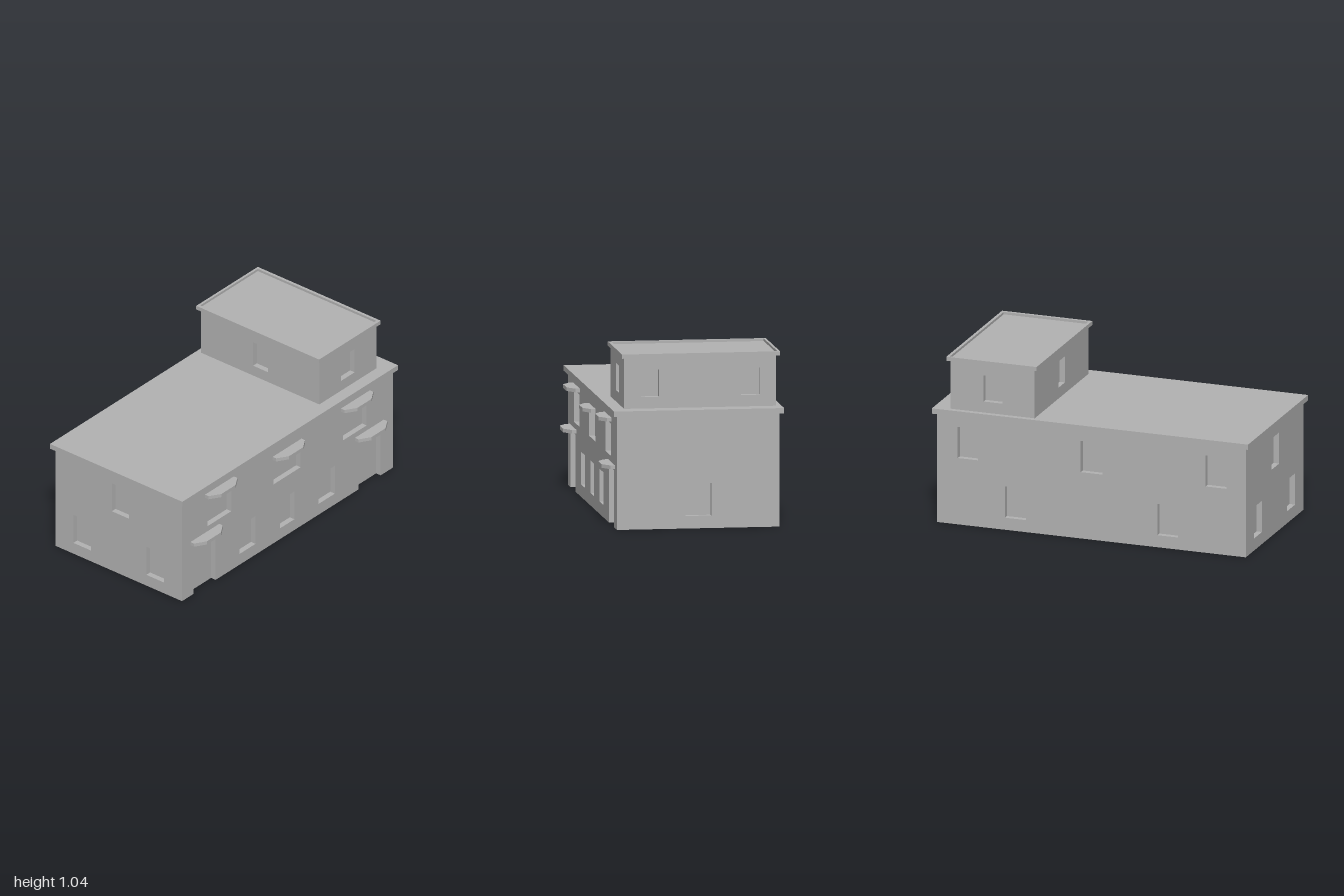
import * as THREE from 'three';

const DEPTH = 0.035; // how far windows and doors are set back

export function createModel() {
  const model = new THREE.Group();
  model.name = 'building';
  const plaster = new THREE.MeshStandardMaterial({ color: 0xb2b2b2, side: THREE.DoubleSide });
  plaster.name = 'grey plaster';

  function add(parent, name, geometry, x = 0, y = 0, z = 0) {
    const mesh = new THREE.Mesh(geometry, plaster);
    mesh.name = name;
    mesh.position.set(x, y, z);
    parent.add(mesh);
    return mesh;
  }

  // Recessed opening: back panel and reveals, open at the sill for doors
  function addNiche(parent, name, [x0, x1, y0, y1], isDoor) {
    const niche = new THREE.Group();
    niche.name = name;
    parent.add(niche);
    const w = x1 - x0, h = y1 - y0, cx = (x0 + x1) / 2, cy = (y0 + y1) / 2, cz = -DEPTH / 2;
    const side = () => new THREE.PlaneGeometry(DEPTH, h);
    const flat = () => new THREE.PlaneGeometry(w, DEPTH);
    add(niche, 'panel', new THREE.PlaneGeometry(w, h), cx, cy, -DEPTH);
    add(niche, 'leftReveal', side().rotateY(Math.PI / 2), x0, cy, cz);
    add(niche, 'rightReveal', side().rotateY(-Math.PI / 2), x1, cy, cz);
    add(niche, 'topReveal', flat().rotateX(Math.PI / 2), cx, y1, cz);
    if (!isDoor) add(niche, 'sill', flat().rotateX(-Math.PI / 2), cx, y0, cz);
  }

  // Thin wall from x0 to x1 in its own plane, outside facing local +z
  function addWall(name, [x0, x1, y0, y1], turn, position, windows, doors = []) {
    const wall = new THREE.Group();
    wall.name = name;
    wall.rotation.y = turn;
    wall.position.set(...position);
    model.add(wall);
    const shape = new THREE.Shape();
    shape.moveTo(x0, y0);
    for (const [a, b, c, d] of doors) {
      shape.lineTo(a, c);
      shape.lineTo(a, d);
      shape.lineTo(b, d);
      shape.lineTo(b, c);
    }
    shape.lineTo(x1, y0);
    shape.lineTo(x1, y1);
    shape.lineTo(x0, y1);
    for (const [a, b, c, d] of windows) {
      shape.holes.push(new THREE.Path([[a, c], [a, d], [b, d], [b, c]].map(p => new THREE.Vector2(...p))));
    }
    add(wall, 'wallFace', new THREE.ShapeGeometry(shape));
    windows.forEach(o => addNiche(wall, 'window', o, false));
    doors.forEach(o => addNiche(wall, 'door', o, true));
  }

  const low = (a, b) => [a, b, 0.075, 0.27];
  const high = (a, b) => [a, b, 0.413, 0.607];
  const top = (a, b) => [a, b, 0.78, 0.943];
  const Q = Math.PI / 2;

  // Main block walls
  const X = 0.977, ZF = 0.465, ZB = -0.51, H = 0.69;
  addWall('frontWall', [-X, X, 0, H], 0, [0, 0, ZF],
    [[-0.74, -0.52, 0.41, 0.603], [-0.13, 0.123, 0.41, 0.603], [0.515, 0.735, 0.41, 0.603],
      low(-0.445, -0.295), low(-0.07, 0.065), low(0.29, 0.44)],
    [[-0.87, -0.665, 0, 0.34], [0.66, 0.865, 0, 0.34]]);
  addWall('backWall', [-X, X, 0, H], Math.PI, [0, 0, ZB],
    [high(-0.845, -0.717), high(-0.067, 0.07), high(0.722, 0.855), low(-0.547, -0.414), low(0.417, 0.547)]);
  addWall('rightWall', [-ZF, -ZB, 0, H], Q, [X, 0, 0], [low(-0.055, 0.1)]);
  addWall('leftWall', [ZB, ZF, 0, H], -Q, [-X, 0, 0],
    [high(-0.076, 0.055), low(-0.372, -0.235), low(0.19, 0.327)]);

  // Main roof slab
  add(model, 'mainRoof', new THREE.BoxGeometry(2, 0.033, 1.02), 0, 0.6955, -0.0235);

  // Upper storey walls
  const T0 = 0.362, T1 = 0.893, TF = 0.41, TB = -0.5, Y0 = 0.71, Y1 = 1.018;
  addWall('upperFrontWall', [T0, T1, Y0, Y1], 0, [0, 0, TF], [top(0.565, 0.69)]);
  addWall('upperBackWall', [-T1, -T0, Y0, Y1], Math.PI, [0, 0, TB], [top(-0.685, -0.565)]);
  addWall('upperRightWall', [-TF, -TB, Y0, Y1], Q, [T1, 0, 0], [top(-0.31, -0.2), top(0.292, 0.403)]);
  addWall('upperLeftWall', [TB, TF, Y0, Y1], -Q, [T0, 0, 0], [top(-0.1, 0.013)]);

  // Plan outline (x, z) raised to a slab of the given thickness
  const toPlan = points => points.map(([x, z]) => new THREE.Vector2(x, -z));
  function slab(points, thickness, hole) {
    const shape = new THREE.Shape(toPlan(points));
    if (hole) shape.holes.push(new THREE.Path(toPlan(hole)));
    return new THREE.ExtrudeGeometry(shape, { depth: thickness, bevelEnabled: false }).rotateX(-Q);
  }
  const rect = (x0, x1, z0, z1) => [[x0, z0], [x0, z1], [x1, z1], [x1, z0]];

  // Upper roof: thin slab with a raised rim
  const outer = rect(0.342, 0.913, -0.522, 0.425);
  add(model, 'upperRoof', slab(outer, 0.01), 0, 1.015, 0);
  add(model, 'upperRoofRim', slab(outer, 0.015, rect(0.36, 0.895, -0.507, 0.405)), 0, 1.025, 0);

  // Canopies above the doors and the upper front windows
  const canopy = slab([[-0.134, ZF], [-0.134, 0.492], [-0.066, 0.535],
    [0.066, 0.535], [0.134, 0.492], [0.134, ZF]], 0.022);
  for (const [x, y] of [[-0.765, 0.353], [0.76, 0.353], [-0.63, 0.619], [0.63, 0.619], [-0.003, 0.584]]) {
    add(model, 'canopy', canopy, x, y, 0);
  }

  return model;
}
